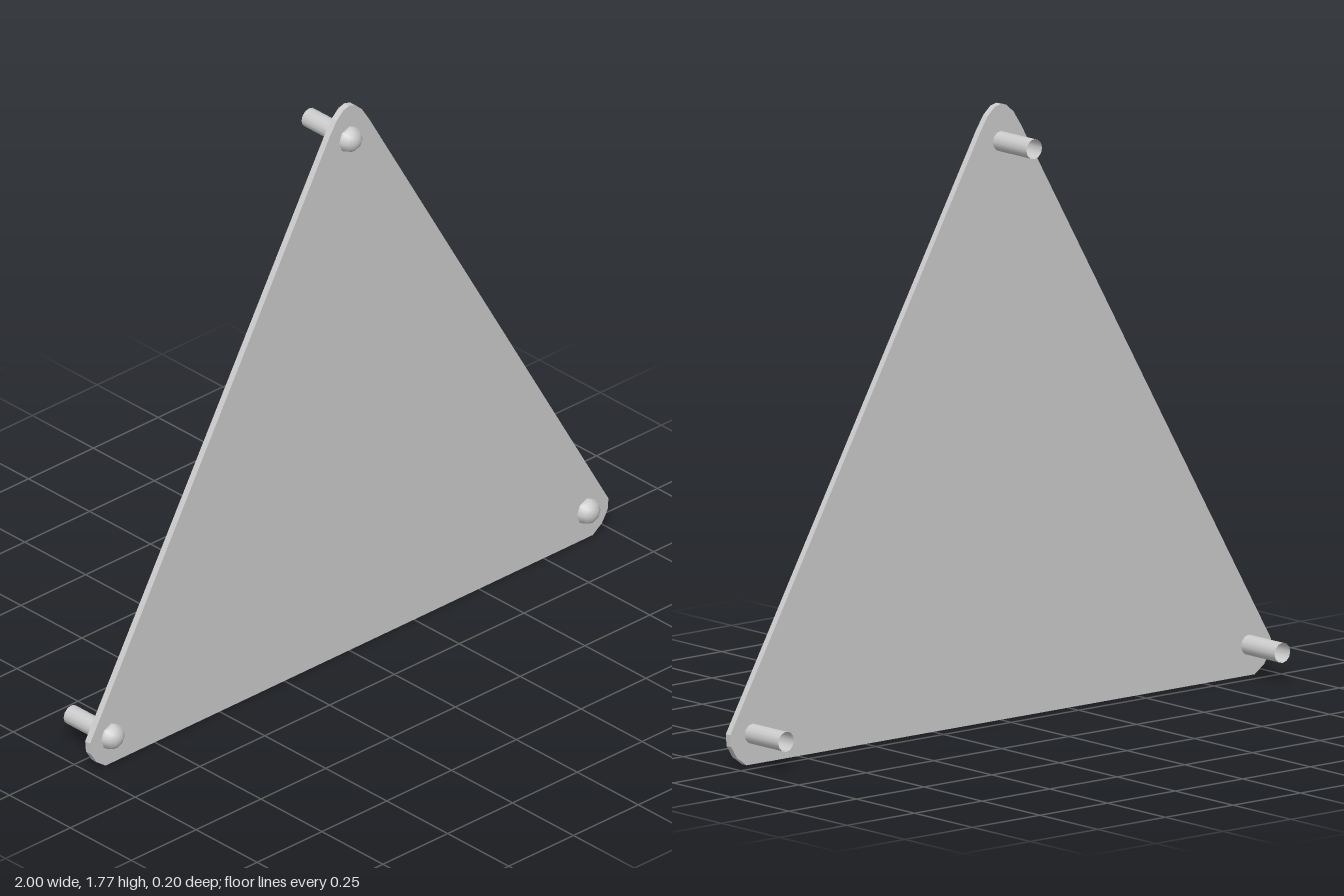
import * as THREE from 'three';

export function createModel() {
  const group = new THREE.Group();
  const material = new THREE.MeshStandardMaterial({ color: 0xcccccc });
  const openMaterial = new THREE.MeshStandardMaterial({ color: 0xcccccc, side: THREE.DoubleSide });

  // Triangular plate with softly faceted corners: right half, then mirrored
  const half = [
    [0.94, 0], [0.975, 0.025], [0.997, 0.06], [1, 0.095],
    [0.075, 1.7], [0.048, 1.741], [0.022, 1.764],
  ];
  const outline = [
    ...half, [0, 1.77],
    ...half.map(([x, y]) => [-x, y]).reverse(),
  ].map(([x, y]) => new THREE.Vector2(x, y));
  const plateGeometry = new THREE.ExtrudeGeometry(new THREE.Shape(outline), {
    depth: 0.02, bevelEnabled: false,
  });
  plateGeometry.translate(0, 0, 0.045);
  const plate = new THREE.Mesh(plateGeometry, material);
  plate.name = 'plate';
  group.add(plate);

  // Hollow pin reaching back from the plate
  const pinGeometry = new THREE.CylinderGeometry(0.029, 0.029, 0.15, 12, 1, true);
  pinGeometry.rotateX(Math.PI / 2).translate(0, 0, -0.025);

  // Domed head on the front of the plate
  const headGeometry = new THREE.SphereGeometry(0.041, 8, 4, 0, Math.PI * 2, 0, Math.PI / 2);
  headGeometry.rotateX(Math.PI / 2).translate(0, 0, 0.06);

  // One fastener per corner
  const corners = [['top', 0, 1.663], ['left', 0.918, 0.088], ['right', -0.918, 0.088]];
  for (const [side, x, y] of corners) {
    const fastener = new THREE.Group();
    fastener.name = `${side}Fastener`;
    const pin = new THREE.Mesh(pinGeometry, openMaterial);
    pin.name = 'pin';
    const head = new THREE.Mesh(headGeometry, material);
    head.name = 'head';
    fastener.add(pin, head);
    fastener.position.set(x, y, 0);
    group.add(fastener);
  }
  return group;
}
